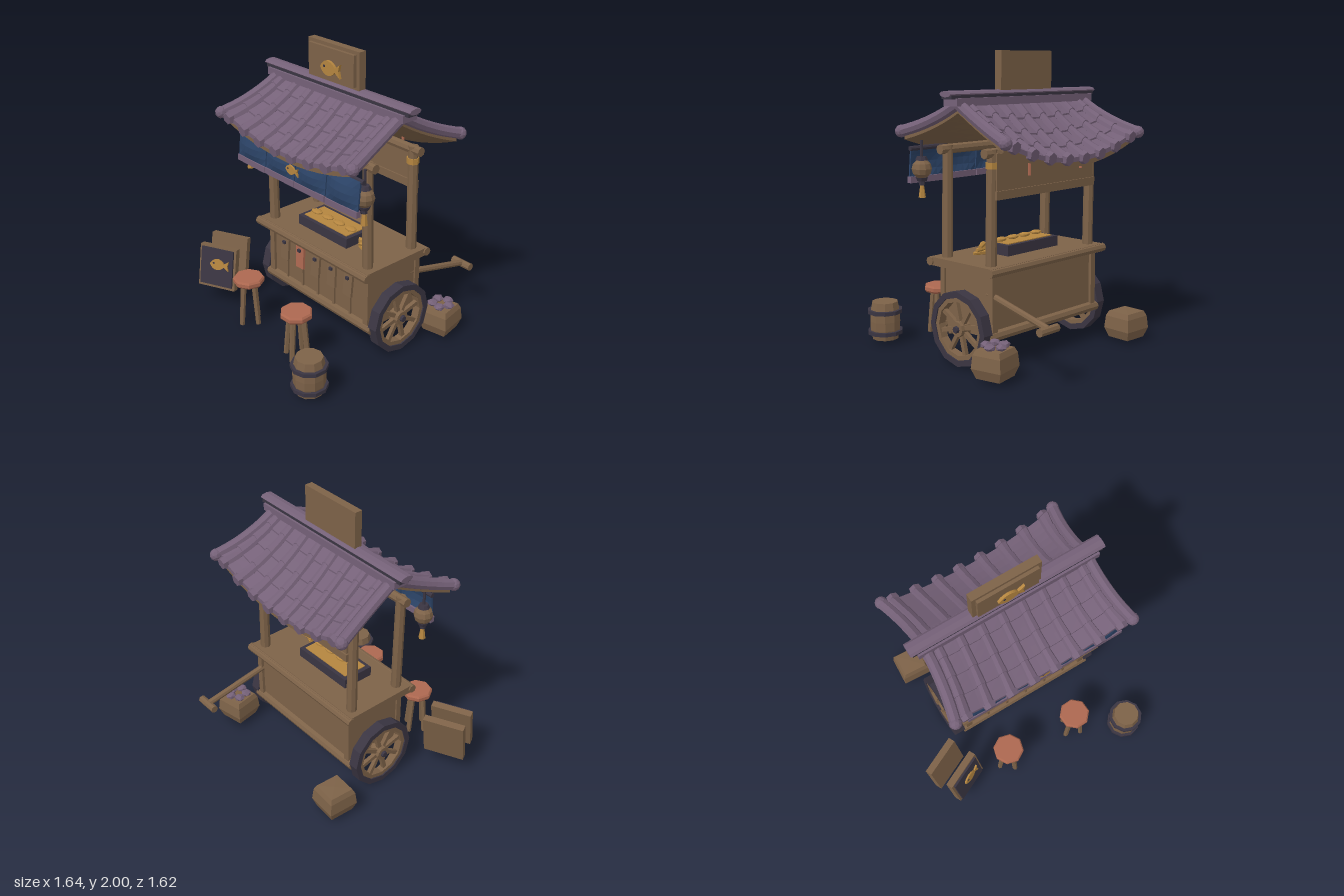
import * as THREE from 'three';

const flat = (name, color) => { const m = new THREE.MeshStandardMaterial({ color }); m.name = name; return m; };
const wood = flat('wood', 0x7d6248), purple = flat('roof purple', 0x756178), dark = flat('dark iron', 0x3a3542);
const blue = flat('curtain blue', 0x2c4468), red = flat('stool red', 0xad6850), gold = flat('gold', 0xb4853f);

// Adds one faceted mesh
function part(parent, name, geo, mat, pos = [0, 0, 0], rot = [0, 0, 0]) {
  const g = geo.index ? geo.toNonIndexed() : geo;
  g.computeVertexNormals();
  const m = new THREE.Mesh(g, mat);
  m.name = name;
  m.position.set(...pos);
  m.rotation.set(...rot);
  parent.add(m);
  return m;
}
function group(parent, name, pos = [0, 0, 0], rot = [0, 0, 0]) {
  const g = new THREE.Group();
  g.name = name;
  g.position.set(...pos);
  g.rotation.set(...rot);
  parent.add(g);
  return g;
}
const box = (x, y, z, a = 1, b = 1, c = 1) => new THREE.BoxGeometry(x, y, z, a, b, c);
const cyl = (rt, rb, h, n = 8, hs = 1) => new THREE.CylinderGeometry(rt, rb, h, n, hs);
const lathe = (pts, n) => new THREE.LatheGeometry(pts.map(p => new THREE.Vector2(...p)), n);
const ring = (ri, ro, h, n) => lathe([[ri, -h], [ro, -h], [ro, h], [ri, h], [ri, -h]], n);

// Round bar between two points
function bar(parent, name, mat, a, b, r, r2 = r, n = 8) {
  const A = new THREE.Vector3(...a), B = new THREE.Vector3(...b), d = B.clone().sub(A);
  const m = part(parent, name, cyl(r2, r, d.length(), n), mat, A.clone().lerp(B, 0.5).toArray());
  m.quaternion.setFromUnitVectors(new THREE.Vector3(0, 1, 0), d.normalize());
  return m;
}

// Fish emblem, facing -x
function fish(parent, size, pos, rot) {
  const g = group(parent, 'fishEmblem', pos, rot);
  const s = new THREE.Shape();
  s.moveTo(-0.5, 0);
  s.quadraticCurveTo(-0.35, 0.27, -0.1, 0.27);
  s.quadraticCurveTo(0.12, 0.25, 0.25, 0.07);
  s.lineTo(0.5, 0.25); s.lineTo(0.43, 0); s.lineTo(0.5, -0.25); s.lineTo(0.25, -0.07);
  s.quadraticCurveTo(0.12, -0.25, -0.1, -0.27);
  s.quadraticCurveTo(-0.35, -0.27, -0.5, 0);
  part(g, 'fishBody', new THREE.ExtrudeGeometry(s, { depth: 0.1, bevelEnabled: false, curveSegments: 5 }), gold);
  part(g, 'fishEye', cyl(0.05, 0.05, 0.02), dark, [-0.28, 0.06, 0.11], [Math.PI / 2, 0, 0]);
  g.scale.setScalar(size);
}

// Roof surface: u across (-1..1), v along the slope (-1 back eave, 0 ridge, 1 front eave)
const roofWidth = v => 0.585 + 0.06 * v * v;
function roofPoint(u, v) {
  const t = Math.abs(v);
  const drop = v > 0 ? 0.30 - 0.11 * u * u : 0.35 - 0.14 * u * u;
  return [u * roofWidth(v), 1.66 - drop * (1.35 * t - 0.35 * t * t), v * 0.455];
}
// Bends a geometry given as (u, height, v) onto the roof
function onRoof(geo) {
  const p = geo.attributes.position;
  for (let i = 0; i < p.count; i++) {
    const [x, y, z] = roofPoint(p.getX(i), p.getZ(i));
    p.setXYZ(i, x, y + p.getY(i), z);
  }
  return geo;
}

function buildRoof(cart) {
  const roof = group(cart, 'roof', [-0.02, 0, 0.005], [0, 0, 0.01]);
  part(roof, 'roofBoards', onRoof(box(2, 0.04, 1.96, 12, 1, 16).translate(0, -0.03, 0)), wood);
  const columns = 8, courses = 4;
  for (const s of [1, -1]) {
    for (let k = 0; k < courses; k++) {
      const v = s * (k + 0.5) / courses, len = 1.04 / courses;
      // Flat tiles, thicker at the lower end of each course
      const pan = box(2, 0.02, len, 14, 1, 2), p = pan.attributes.position;
      for (let i = 0; i < p.count; i++) if (p.getY(i) > 0) p.setY(i, 0.008 + 0.012 * (0.5 + s * p.getZ(i) / len));
      part(roof, 'flatTileCourse', onRoof(pan.translate(0, 0, v)), purple);
      // Round cover tiles
      for (let c = 0; c < columns; c++) {
        const u = (c - 3.5) * 0.252, wide = 0.04, thin = 0.033;
        const tile = cyl(s > 0 ? wide : thin, s > 0 ? thin : wide, len, 8, 2).rotateX(Math.PI / 2);
        part(roof, 'coverTile', onRoof(tile.scale(1 / 0.62, 1, 1).translate(u, 0.012, v)), purple);
      }
    }
    for (let c = 0; c < columns; c++) {
      const [x, y, z] = roofPoint((c - 3.5) * 0.252, s);
      part(roof, 'eaveCap', cyl(0.04, 0.047, 0.035, 6), purple, [x, y + 0.01, z + s * 0.012], [s * 1.75, 0, 0]);
    }
    // Rounded verge along each gable edge
    for (const e of [1, -1]) {
      const path = new THREE.CatmullRomCurve3([0, 0.25, 0.5, 0.75, 1.03].map(t => {
        const [x, y, z] = roofPoint(e, s * t);
        return new THREE.Vector3(x, y + 0.01, z);
      }));
      part(roof, 'verge', new THREE.TubeGeometry(path, 10, 0.038, 8), purple);
      const [x, y, z] = roofPoint(e, s * 1.03);
      part(roof, 'vergeEnd', new THREE.IcosahedronGeometry(0.043, 1), purple, [x, y + 0.01, z]);
    }
  }
  // Ridge
  part(roof, 'ridgeBase', box(1.3, 0.05, 0.12), purple, [0, 1.68, 0]);
  part(roof, 'ridgeMiddle', box(1.36, 0.025, 0.09), dark, [0, 1.71, 0]);
  part(roof, 'ridgeCap', cyl(0.05, 0.05, 1.39, 8).rotateZ(Math.PI / 2).scale(1, 0.4, 1), purple, [0, 1.73, 0]);
  // Roof sign
  part(roof, 'signBoard', box(0.485, 0.27, 0.055), wood, [-0.01, 1.863, 0.0]);
  part(roof, 'signFace', box(0.43, 0.21, 0.03), wood, [-0.01, 1.87, 0.035]);
  fish(roof, 0.185, [0.0, 1.845, 0.05]);
}

function buildCart(cart) {
  // Body
  part(cart, 'body', box(0.99, 0.41, 0.44), wood, [0.005, 0.41, -0.01]);
  part(cart, 'counter', box(1.1, 0.055, 0.57), wood, [0, 0.642, 0.005]);
  for (const z of [0.28, -0.27]) bar(cart, 'counterEdge', wood, [-0.56, 0.642, z], [0.56, 0.642, z], 0.03);
  for (const z of [0.21, -0.23]) {
    bar(cart, 'lowerBeam', wood, [-0.53, 0.222, z], [0.54, 0.222, z], 0.035);
    for (const x of [-0.48, 0.49]) part(cart, 'cornerStrip', box(0.045, 0.4, 0.04), wood, [x, 0.42, z]);
  }
  // Hanging plates on the front
  part(cart, 'plateRail', box(0.87, 0.028, 0.03), wood, [0.01, 0.595, 0.225]);
  for (let i = 0; i < 5; i++) {
    const x = -0.315 + i * 0.163;
    part(cart, 'menuPlate', box(0.078, 0.16, 0.018), i === 1 ? red : wood, [x, 0.49, 0.24], [-0.06, 0, (i % 2 ? 0.03 : -0.03)]);
    part(cart, 'plateStick', box(0.016, 0.32, 0.014), wood, [x, 0.42, 0.222]);
    part(cart, 'platePeg', box(0.025, 0.02, 0.02), dark, [x, 0.545, 0.25]);
  }
  // Posts and top beams
  for (const z of [0.2, -0.2]) {
    for (const x of [-0.475, 0.475]) bar(cart, 'post', wood, [x, 0.66, z], [x - 0.015, 1.4, z], 0.036, 0.034);
    bar(cart, 'topBeam', wood, [-0.55, 1.375, z], [0.53, 1.375, z], 0.032);
  }
  part(cart, 'postBand', cyl(0.042, 0.042, 0.04), gold, [0.46, 1.3, -0.2]);
  part(cart, 'backBoard', box(0.93, 0.25, 0.015), wood, [-0.005, 1.25, -0.235]);
  part(cart, 'backRail', box(0.95, 0.055, 0.035), wood, [-0.005, 1.115, -0.235]);
  for (const x of [-0.25, 0.25]) bar(cart, 'redCord', red, [x, 1.23, -0.32], [x, 1.42, -0.32], 0.01);
  // Wheels
  for (const s of [1, -1]) {
    const w = group(cart, 'wheel', [s * 0.56, 0.247, -0.012], [0, 0, -s * Math.PI / 2]);
    part(w, 'tyre', ring(0.207, 0.247, 0.037, 12), dark);
    part(w, 'rim', ring(0.178, 0.21, 0.028, 12), wood);
    part(w, 'hub', cyl(0.05, 0.055, 0.075, 10), wood);
    part(w, 'hubCap', cyl(0.02, 0.025, 0.02, 8), dark, [0, 0.045, 0]);
    for (let i = 0; i < 8; i++) {
      const a = (i + 0.3) * Math.PI / 4;
      part(w, 'spoke', box(0.16, 0.028, 0.028), wood, [0.115 * Math.cos(a), 0, -0.115 * Math.sin(a)], [0, a, 0]);
    }
  }
  bar(cart, 'axle', wood, [-0.55, 0.247, -0.012], [0.55, 0.247, -0.012], 0.025);
  // Pull handle
  bar(cart, 'handlePole', wood, [0.48, 0.49, -0.18], [0.505, 0.37, -0.705], 0.022);
  bar(cart, 'handleGrip', wood, [0.425, 0.365, -0.705], [0.585, 0.365, -0.705], 0.027);
  // Grill with food
  part(cart, 'grill', box(0.49, 0.07, 0.235), dark, [-0.037, 0.705, 0.025]);
  part(cart, 'grillTop', box(0.43, 0.008, 0.18), gold, [-0.037, 0.742, 0.025]);
  for (let i = 0; i < 4; i++)
    part(cart, 'grilledCake', new THREE.SphereGeometry(0.05, 8, 5).scale(1, 0.3, 0.65), gold, [-0.205 + i * 0.115, 0.758, 0.04]);
  for (let i = 0; i < 3; i++)
    bar(cart, 'snackStick', gold, [0.265, 0.69 + i * 0.025, 0.06 + i * 0.01], [0.345, 0.685 + i * 0.025, 0.09 - i * 0.03], 0.02, 0.012, 6);
}

function buildHangings(cart) {
  // Curtain panels with weighted hems
  for (let i = 0; i < 4; i++) {
    const x = -0.43 + i * 0.297, g = box(0.288, 0.2, 0.012, 6, 4, 1), p = g.attributes.position;
    for (let j = 0; j < p.count; j++) {
      const a = p.getX(j) / 0.144, b = p.getY(j) / 0.1;
      p.setZ(j, p.getZ(j) + 0.03 * (1 - a * a) * (1 - b * b) - 0.01 * b);
    }
    part(cart, 'curtainPanel', g, blue, [x, 1.28, 0.405]);
    part(cart, 'curtainHem', box(0.29, 0.042, 0.035), purple, [x, 1.165, 0.413], [0, 0, (i - 1.5) * 0.012]);
  }
  bar(cart, 'curtainRod', dark, [-0.59, 1.375, 0.385], [0.62, 1.375, 0.385], 0.016);
  fish(cart, 0.12, [0.012, 1.265, 0.43]);
  // Lanterns
  for (const x of [-0.57, 0.57]) {
    const l = group(cart, 'lantern', [x, 1.245, 0.33]);
    part(l, 'lanternBody', new THREE.SphereGeometry(0.066, 10, 6), wood);
    part(l, 'lanternTop', cyl(0.03, 0.042, 0.025), dark, [0, 0.068, 0]);
    part(l, 'lanternBottom', cyl(0.04, 0.03, 0.025), dark, [0, -0.068, 0]);
    part(l, 'lanternHook', cyl(0.01, 0.01, 0.12, 6), dark, [0, 0.125, 0]);
    part(l, 'tasselKnot', cyl(0.02, 0.02, 0.03, 6), dark, [0, -0.092, 0]);
    part(l, 'tassel', cyl(0.012, 0.024, 0.085, 6), gold, [0, -0.145, 0]);
  }
}

function buildProps(root) {
  // Stools
  for (const [x, z, turn] of [[-0.215, 0.52, 0.2], [0.335, 0.515, 0.5]]) {
    const s = group(root, 'stool', [x, 0, z], [0, turn, 0]);
    part(s, 'stoolSeat', lathe([[0, 0.325], [0.1, 0.325], [0.11, 0.338], [0.11, 0.362], [0.1, 0.374], [0, 0.374]], 8), red);
    for (let i = 0; i < 4; i++) {
      const c = Math.cos(i * Math.PI / 2), d = Math.sin(i * Math.PI / 2);
      bar(s, 'stoolLeg', wood, [c * 0.08, 0.02, d * 0.08], [c * 0.05, 0.33, d * 0.05], 0.018, 0.02, 6);
    }
  }
  // Barrel
  const b = group(root, 'barrel', [0.69, 0, 0.68]);
  part(b, 'barrelBody', lathe([[0, 0.02], [0.09, 0.02], [0.105, 0.09], [0.108, 0.15], [0.105, 0.21], [0.09, 0.283], [0, 0.283]], 10), wood);
  for (const y of [0.07, 0.217]) part(b, 'barrelHoop', ring(0.095, 0.122, 0.013, 10), dark, [0, y, 0]);
  // Leaning boards
  const front = group(root, 'menuBoard', [-0.58, 0.29, 0.535], [0, 0.5, 0]);
  const lean = group(front, 'menuBoardLean', [0, 0, 0], [-0.2, 0, 0]);
  part(lean, 'menuBoardBack', box(0.29, 0.31, 0.05), wood);
  part(lean, 'menuBoardFace', box(0.255, 0.275, 0.03), dark, [0, 0.005, 0.025]);
  fish(lean, 0.15, [0.025, 0.03, 0.037]);
  const rear = group(root, 'rearBoard', [-0.665, 0.29, 0.385], [0, 0.5, 0]);
  part(rear, 'rearBoardPanel', box(0.29, 0.325, 0.05), wood, [0, 0, 0], [-0.2, 0, 0]);
  // Sacks
  for (const [x, z, turn, full] of [[-0.53, -0.47, 0, false], [0.69, -0.46, 0.25, true]]) {
    const s = group(root, 'sack', [x, 0, z], [0, turn, 0]);
    const r = Math.SQRT2;
    part(s, 'sackBody', lathe([[0, 0.02], [0.085 * r, 0.025], [0.108 * r, 0.09], [0.1 * r, 0.175], [0.085 * r, 0.21], [0, 0.215]], 4).rotateY(Math.PI / 4), wood);
    if (full) for (let i = 0; i < 5; i++)
      part(s, 'sackVegetable', new THREE.IcosahedronGeometry(0.04, 0).scale(1, 0.6, 1), purple,
        [0.06 * Math.cos(i * 1.26), 0.228, 0.06 * Math.sin(i * 1.26)], [0, i, 0]);
  }
}

export function createModel() {
  const root = new THREE.Group();
  root.name = 'foodCart';
  const cart = group(root, 'cart', [0.095, 0, -0.05], [0, 0.058, 0]);
  buildCart(cart);
  buildHangings(cart);
  buildRoof(cart);
  buildProps(root);
  return root;
}
